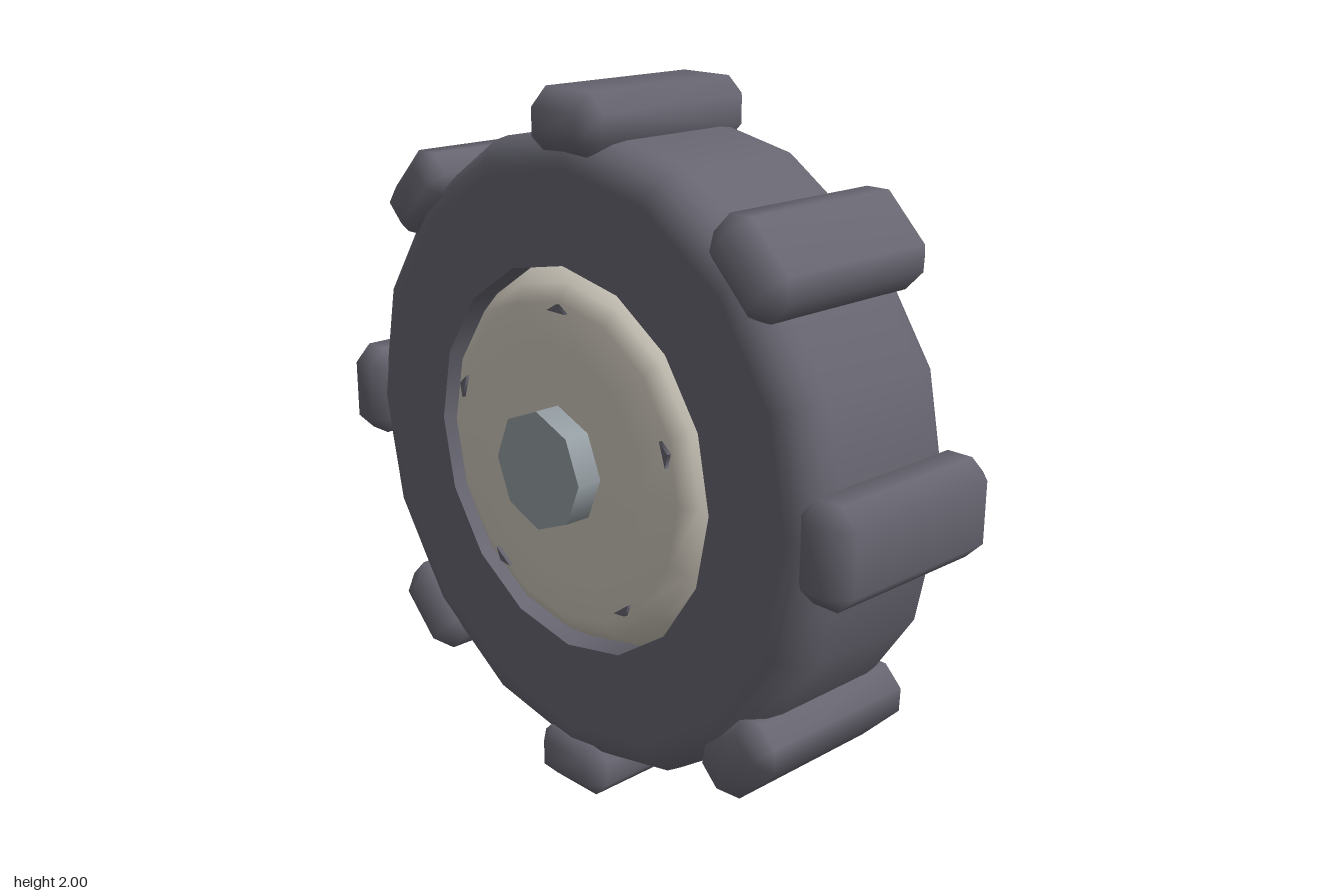
import * as THREE from 'three';
import { mergeVertices } from 'three/addons/utils/BufferGeometryUtils.js';
import { ConvexGeometry } from 'three/addons/geometries/ConvexGeometry.js';

const material = (name, color) => {
  const m = new THREE.MeshStandardMaterial({ color });
  m.name = name;
  return m;
};

// Revolve [radius, x] points about the x axis
function revolve(points, segments) {
  const profile = points.map(([r, x]) => new THREE.Vector2(r, x));
  return new THREE.LatheGeometry(profile, segments).rotateZ(Math.PI / 2);
}

// Box with every edge chamfered by c and softly shaded corners
function chamferedBox(w, h, d, c) {
  const half = [w / 2, h / 2, d / 2];
  const points = [];
  for (const sx of [-1, 1]) for (const sy of [-1, 1]) for (const sz of [-1, 1]) {
    for (let axis = 0; axis < 3; axis++) {
      const p = half.map((v, i) => (i === axis ? v : v - c));
      points.push(new THREE.Vector3(p[0] * sx, p[1] * sy, p[2] * sz));
    }
  }
  let geometry = new ConvexGeometry(points);
  geometry.deleteAttribute('normal');
  geometry = mergeVertices(geometry, 1e-4);
  geometry.computeVertexNormals();
  return geometry;
}

export function createModel() {
  const rubber = material('dark rubber', 0x666570);
  const cream = material('cream hub', 0xcdc7bb);
  const steel = material('grey steel', 0x959ea3);

  const wheel = new THREE.Group();
  wheel.name = 'wheel';
  const add = (name, geometry, mat, parent = wheel) => {
    const mesh = new THREE.Mesh(geometry, mat);
    mesh.name = name;
    parent.add(mesh);
    return mesh;
  };

  // Tyre: flat side walls, rounded shoulders, open centre
  const side = [[0.545, 0.275], [0.80, 0.275], [0.835, 0.272], [0.872, 0.25], [0.895, 0.215], [0.903, 0.17]];
  const outer = [...side.map(([r, x]) => [r, -x]), ...side.slice().reverse()];
  add('tyre', revolve(outer, 16), rubber);
  add('tyreInnerWall', revolve([[0.545, 0.275], [0.545, -0.275]], 16), rubber);

  // Hub: shallow dome on both sides, recessed at its rim
  const dome = [[0.545, 0.19], [0.50, 0.262], [0.45, 0.29], [0.32, 0.297], [0, 0.30]];
  add('hub', revolve([...dome.slice().reverse().map(([r, x]) => [r, -x]), ...dome], 16), cream);

  // Octagonal axle through the hub
  add('axle', new THREE.CylinderGeometry(0.168, 0.168, 0.75, 8).rotateZ(Math.PI / 2), steel);

  // Five small pins just breaking the hub surface on both sides
  const pinGeometry = new THREE.CylinderGeometry(0.028, 0.028, 0.604, 3, 1, false, Math.PI / 2)
    .rotateZ(Math.PI / 2).scale(1, 0.5, 1.5).translate(0, 0.432, 0);
  const pins = new THREE.Group();
  pins.name = 'hubPins';
  wheel.add(pins);
  for (let i = 0; i < 5; i++) {
    add('hubPin', pinGeometry, rubber, pins).rotation.x = (i * Math.PI * 2) / 5;
  }

  // Eight chamfered tread blocks around the tyre
  const blockGeometry = chamferedBox(0.6, 0.175, 0.27, 0.05).translate(0, 0.9125, 0);
  const treads = new THREE.Group();
  treads.name = 'treadBlocks';
  wheel.add(treads);
  for (let i = 0; i < 8; i++) {
    add('treadBlock', blockGeometry, rubber, treads).rotation.x = (i * Math.PI) / 4;
  }

  wheel.position.y = 1;
  const model = new THREE.Group();
  model.name = 'treadedWheel';
  model.add(wheel);
  return model;
}
